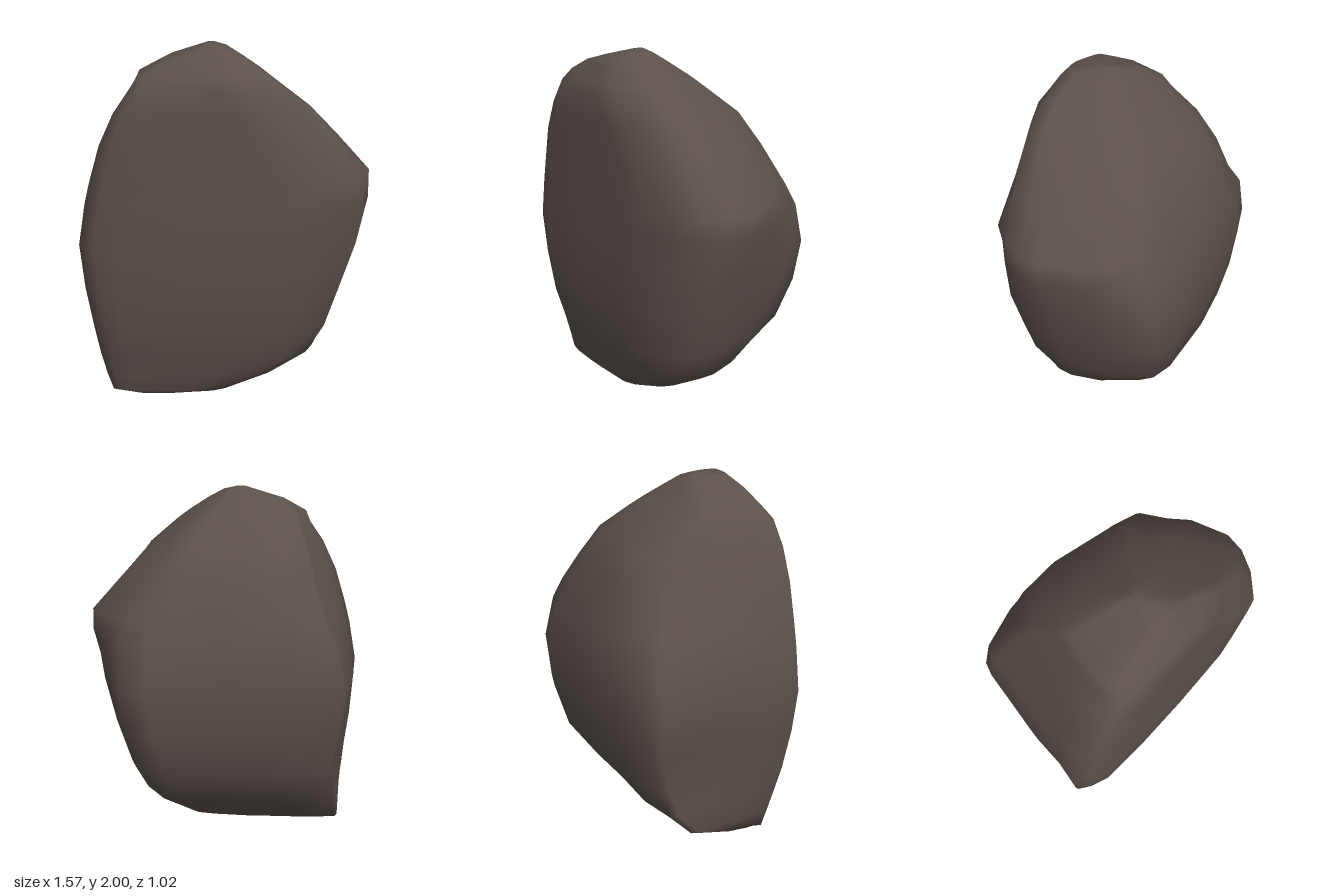
import * as THREE from 'three';

// Horizontal outline of the boulder, as fractions of each layer's width (left to right) and depth (back to front)
const outline = [
  [0, 0.89], [0.05, 0.94], [0.13, 0.985], [0.37, 1], [0.63, 1], [0.85, 0.99], [0.955, 0.87], [0.99, 0.75],
  [1, 0.63], [0.97, 0.39], [0.93, 0.26], [0.885, 0.11], [0.79, 0.06], [0.5, 0.01],
  [0.27, 0], [0.115, 0.06], [0.095, 0.13], [0.04, 0.52], [0.028, 0.72],
];

// How strongly each outline point follows the chipping of its corner
const backPlus = { 9: 0.4, 10: 0.8, 11: 1, 12: 1, 13: 0.4 };
const backMinus = { 14: 0.5, 15: 1, 16: 1, 17: 0.2 };
const frontPlus = { 5: -1, 6: 1, 7: 0.3 };
const frontMinus = { 0: 1, 1: 1, 2: 1, 3: 0.3, 18: 0.4 };

// Layers from bottom to top: height, min x, max x, back z, front z, then how far the
// back +x, back -x, front +x and front -x corners are chipped in (negative: bulge out)
const layers = [
  [0.00, -0.50, -0.30, 0.25, 0.31, 0, 0, 0, 0],
  [0.03, -0.65, 0.02, 0.10, 0.335, 0, -0.03, 0, 0],
  [0.13, -0.68, 0.28, -0.14, 0.37, 0, -0.09, 0, 0],
  [0.27, -0.71, 0.50, -0.31, 0.41, 0, -0.03, 0, 0],
  [0.45, -0.735, 0.57, -0.43, 0.465, -0.08, 0.06, -0.03, 0],
  [0.70, -0.77, 0.65, -0.48, 0.495, -0.1, 0.03, -0.03, 0],
  [0.95, -0.79, 0.72, -0.505, 0.51, -0.07, 0, -0.04, 0],
  [1.18, -0.75, 0.78, -0.495, 0.51, 0.04, 0.01, 0, 0],
  [1.30, -0.72, 0.78, -0.475, 0.51, 0.11, 0.08, 0.02, 0],
  [1.50, -0.66, 0.60, -0.425, 0.51, 0.11, 0.12, -0.04, 0],
  [1.67, -0.59, 0.44, -0.295, 0.51, 0.04, 0.1, -0.06, 0.02],
  [1.80, -0.52, 0.275, -0.13, 0.51, 0, 0.08, -0.06, 0.06],
  [1.86, -0.49, 0.20, -0.06, 0.47, 0, 0.06, -0.05, 0.08],
  [1.93, -0.35, 0.10, 0.04, 0.425, 0, 0.03, -0.03, 0.06],
  [1.98, -0.17, 0.02, 0.12, 0.38, 0, 0, 0, 0.03],
  [2.00, -0.10, -0.06, 0.16, 0.22, 0, 0, 0, 0],
];

function boulderGeometry() {
  const n = outline.length;
  const positions = [];
  const index = [];
  for (const [y, x0, x1, z0, z1, chipBP, chipBM, chipFP, chipFM] of layers) {
    outline.forEach(([u, w], i) => {
      const bp = chipBP * (backPlus[i] ?? 0) / 2;
      const bm = chipBM * (backMinus[i] ?? 0) / 2;
      const fp = chipFP * (frontPlus[i] ?? 0);
      const fm = chipFM * (frontMinus[i] ?? 0) / 2;
      positions.push(x0 + (x1 - x0) * u - bp + bm - fp + fm, y, z0 + (z1 - z0) * w + bp + bm - fm);
    });
  }

  // Skin between neighbouring layers
  for (let j = 0; j < layers.length - 1; j++) {
    for (let i = 0; i < n; i++) {
      const a = j * n + i, b = j * n + (i + 1) % n;
      index.push(a, b, b + n, a, b + n, a + n);
    }
  }

  // Close the bottom and the top with fans
  const addCap = (j, up) => {
    const [y, x0, x1, z0, z1] = layers[j];
    const centre = positions.length / 3;
    positions.push((x0 + x1) / 2, y, (z0 + z1) / 2);
    for (let i = 0; i < n; i++) {
      const a = j * n + i, b = j * n + (i + 1) % n;
      if (up) index.push(centre, a, b);
      else index.push(centre, b, a);
    }
  };
  addCap(0, false);
  addCap(layers.length - 1, true);

  const geometry = new THREE.BufferGeometry();
  geometry.setAttribute('position', new THREE.Float32BufferAttribute(positions, 3));
  geometry.setIndex(index);
  geometry.computeVertexNormals();
  return geometry;
}

export function createModel() {
  const group = new THREE.Group();
  group.name = 'rock';
  const boulder = new THREE.Mesh(boulderGeometry(), new THREE.MeshStandardMaterial({ color: 0x5c514b }));
  boulder.name = 'boulder';
  group.add(boulder);
  return group;
}
